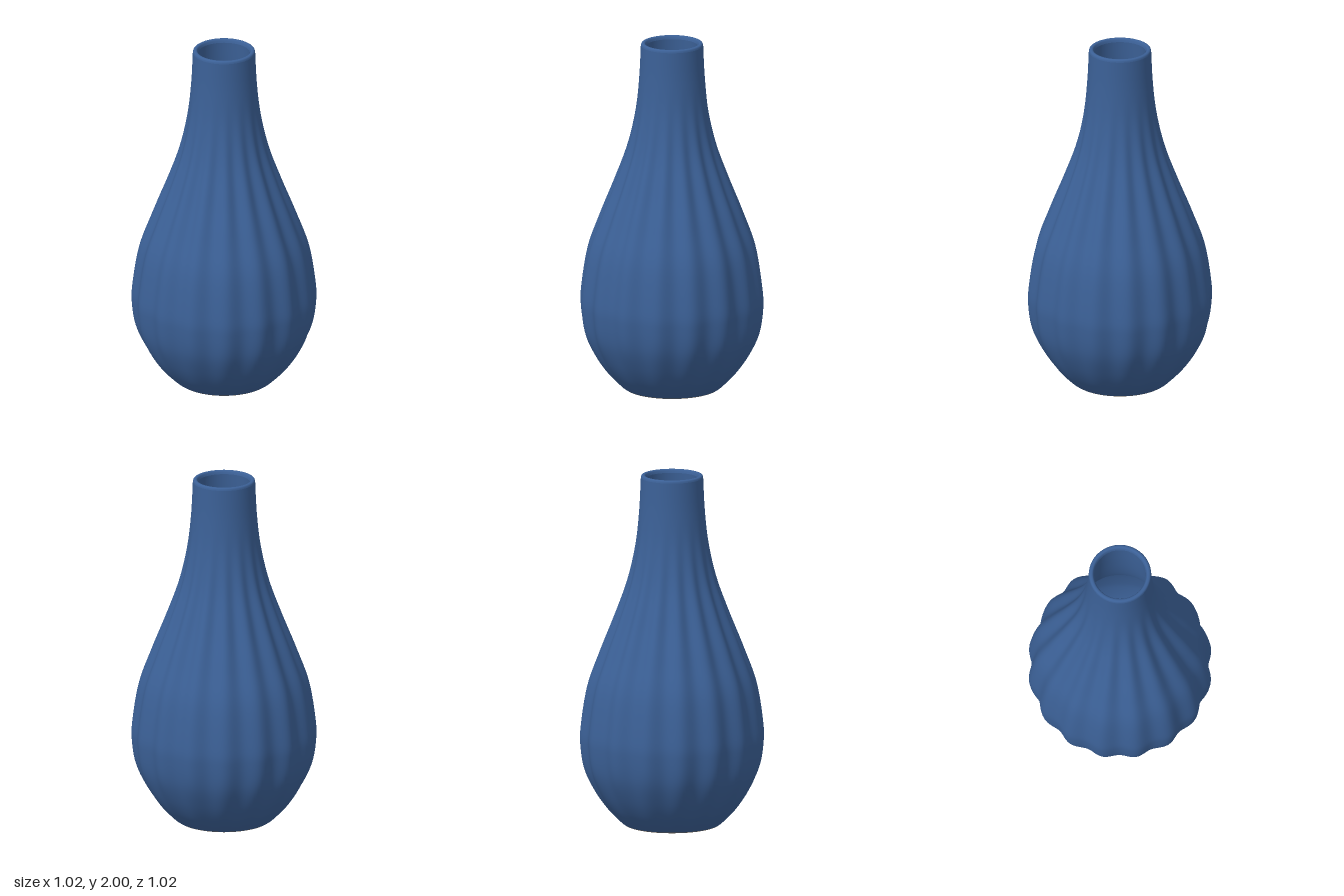
import * as THREE from 'three';
import { mergeVertices } from 'three/addons/utils/BufferGeometryUtils.js';

const SEGMENTS = 192;
const FLUTES = 16;

const v2 = (pairs) => pairs.map(([r, y]) => new THREE.Vector2(r, y));
const spline = (pairs, n) => new THREE.SplineCurve(v2(pairs)).getPoints(n);

// Flute depth: strongest on the belly, fading out at the foot and neck
function fluteDepth(y) {
  const s = THREE.MathUtils.smoothstep;
  return 0.012 * s(y, 0, 0.4) * (1 - s(y, 1.05, 1.8));
}

// Lathe with a welded seam, optionally pressed into vertical flutes
function turned(points, fluted) {
  let geo = new THREE.LatheGeometry(points, SEGMENTS);
  if (fluted) {
    const p = geo.attributes.position;
    for (let i = 0; i < p.count; i++) {
      const x = p.getX(i), y = p.getY(i), z = p.getZ(i);
      const r = Math.hypot(x, z);
      const k = 1 - (fluteDepth(y) * Math.cos(FLUTES * Math.atan2(x, z))) / r;
      p.setX(i, x * k);
      p.setZ(i, z * k);
    }
  }
  geo.deleteAttribute('uv');
  geo.deleteAttribute('normal');
  geo = mergeVertices(geo, 1e-5);
  geo.computeVertexNormals();
  return geo;
}

export function createModel() {
  const glaze = new THREE.MeshStandardMaterial({ color: 0x3b6096 });
  glaze.name = 'blue glaze';
  const clay = new THREE.MeshStandardMaterial({ color: 0x8a7d6b });
  clay.name = 'bare clay';

  const vase = new THREE.Group();
  vase.name = 'vase';
  const add = (name, geo, mat) => {
    const mesh = new THREE.Mesh(geo, mat);
    mesh.name = name;
    vase.add(mesh);
  };

  // Fluted outer wall, from foot to lip
  const outer = spline([
    [0.27, 0.005], [0.295, 0.025], [0.365, 0.1], [0.43, 0.2], [0.482, 0.32],
    [0.504, 0.45], [0.503, 0.57], [0.466, 0.8], [0.395, 1.0], [0.316, 1.2],
    [0.247, 1.4], [0.205, 1.6], [0.184, 1.8], [0.175, 1.985],
  ], 80);
  add('body', turned(outer, true), glaze);

  // Rounded lip
  const lip = spline([[0.175, 1.985], [0.171, 1.996], [0.161, 2], [0.151, 1.996], [0.145, 1.98]], 12);
  add('lip', turned(lip, false), glaze);

  // Smooth hollow inside
  const inner = spline([
    [0.145, 1.98], [0.153, 1.8], [0.174, 1.6], [0.215, 1.4], [0.282, 1.2], [0.36, 1.0],
    [0.43, 0.8], [0.467, 0.57], [0.468, 0.45], [0.445, 0.32], [0.39, 0.2], [0.3, 0.1], [0.24, 0.06],
  ], 50);
  add('innerWall', turned(inner, false), glaze);
  add('innerFloor', turned(v2([[0.24, 0.06], [0, 0.06]]), false), glaze);

  // Unglazed foot ring around a shallow recess
  const foot = spline([[0, 0.02], [0.12, 0.02], [0.205, 0.018], [0.235, 0.008], [0.25, 0], [0.262, 0], [0.27, 0.005]], 24);
  add('foot', turned(foot, false), clay);

  return vase;
}
